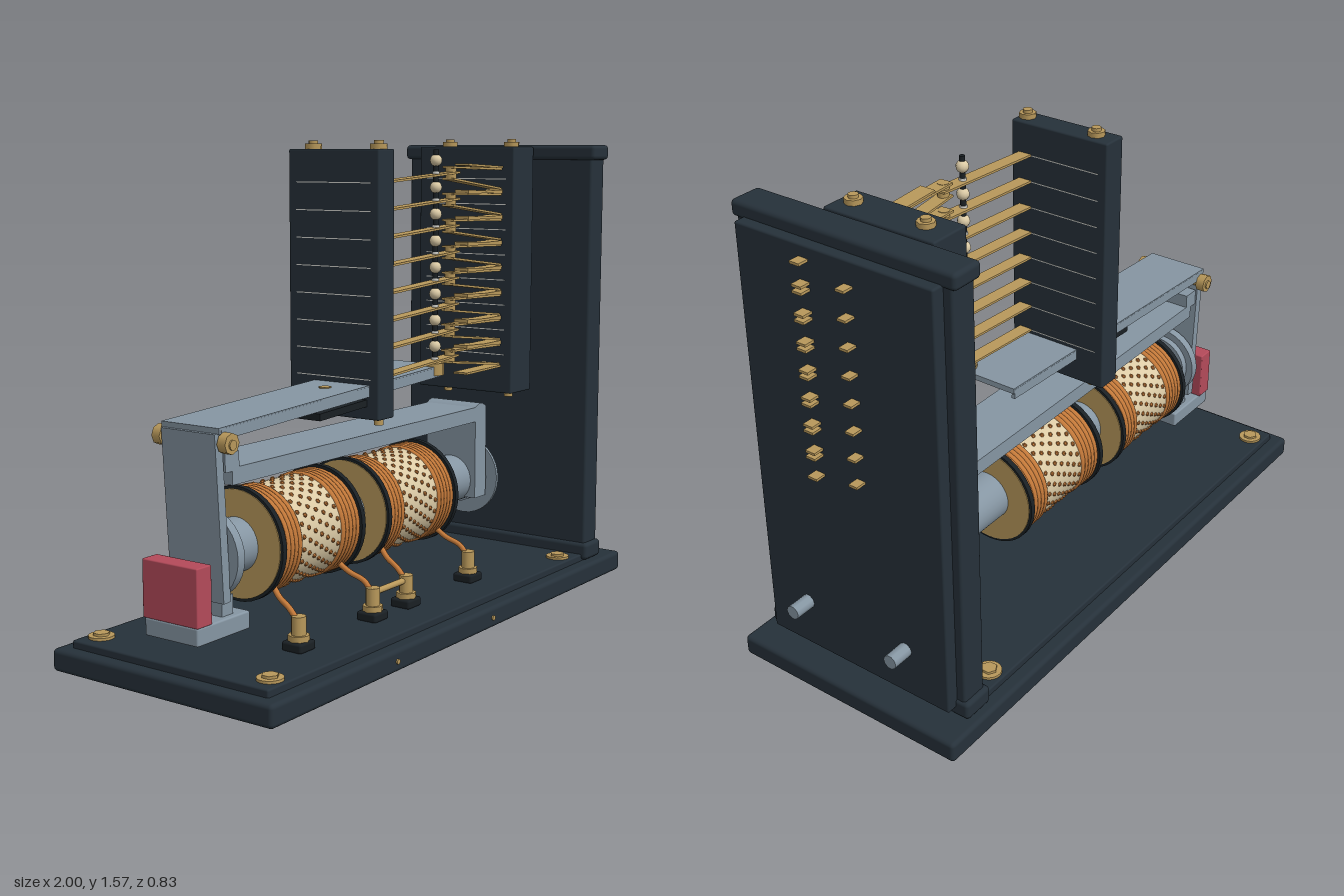
import * as THREE from 'three';
import { RoundedBoxGeometry } from 'three/addons/geometries/RoundedBoxGeometry.js';

const mat = (name, color) => {
  const m = new THREE.MeshStandardMaterial({ color });
  m.name = name;
  return m;
};

export function createModel() {
  const model = new THREE.Group();
  const ebonite = mat('ebonite', 0x26313a);
  const black = mat('black', 0x1a2024);
  const steel = mat('steel', 0x8696a3);
  const brass = mat('brass', 0xb9995b);
  const copper = mat('copper', 0xc57a3a);
  const ivory = mat('ivory', 0xdccba6);
  const red = mat('red', 0xb44a5a);
  const pale = mat('pale', 0xd8d8d2);

  const add = (name, geo, material, x = 0, y = 0, z = 0) => {
    const m = new THREE.Mesh(geo, material);
    m.name = name;
    m.position.set(x, y, z);
    model.add(m);
    return m;
  };
  // Box from its limits, with optional bevel
  const box = (name, material, x0, x1, y0, y1, z0, z1, bevel = 0) => {
    const s = [x1 - x0, y1 - y0, z1 - z0];
    const geo = bevel ? new RoundedBoxGeometry(...s, 2, bevel) : new THREE.BoxGeometry(...s);
    return add(name, geo, material, (x0 + x1) / 2, (y0 + y1) / 2, (z0 + z1) / 2);
  };
  // Cylinder along an axis, from a to b
  const rod = (name, material, axis, r, a, b, x, y, z, sides = 24) => {
    const geo = new THREE.CylinderGeometry(r, r, b - a, sides);
    const mid = (a + b) / 2;
    if (axis === 'x') { geo.rotateZ(-Math.PI / 2); x = mid; }
    if (axis === 'y') y = mid;
    if (axis === 'z') { geo.rotateX(Math.PI / 2); z = mid; }
    return add(name, geo, material, x, y, z);
  };
  // Sloping flat bar between two points in the front plane
  const bar = (name, material, x0, y0, x1, y1, thick, z, width) => {
    const m = add(name, new THREE.BoxGeometry(Math.hypot(x1 - x0, y1 - y0), thick, width),
      material, (x0 + x1) / 2, (y0 + y1) / 2, z);
    m.rotation.z = Math.atan2(y1 - y0, x1 - x0);
    return m;
  };

  // Base with feet and corner screws
  box('base', ebonite, -1, 1, 0.018, 0.087, -0.415, 0.415, 0.014);
  box('baseTop', ebonite, -0.96, 0.86, 0.08, 0.11, -0.37, 0.37, 0.006);
  for (const x of [-0.89, 0.705]) for (const z of [-0.32, 0.32]) {
    rod('foot', black, 'y', 0.052, 0, 0.02, x, 0, z);
    rod('baseScrew', brass, 'y', 0.039, 0.108, 0.118, x, 0, z);
    rod('baseScrewHead', brass, 'y', 0.025, 0.118, 0.126, x, 0, z, 6);
  }
  for (const x of [-0.42, 0.115]) rod('basePin', brass, 'z', 0.008, 0.405, 0.42, x, 0.052, 0, 10);

  // Upright back panel
  box('panel', ebonite, 0.8, 0.89, 0.1, 1.54, -0.375, 0.375, 0.01);
  box('panelTopRail', ebonite, 0.788, 0.897, 1.495, 1.546, -0.39, 0.39, 0.014);
  box('panelBottomRail', ebonite, 0.788, 0.897, 0.09, 0.15, -0.39, 0.39, 0.014);
  box('panelPlate', ebonite, 0.88, 0.93, 0.12, 1.505, -0.345, 0.345, 0.007);
  for (const z of [-0.19, 0.19]) rod('powerPin', steel, 'x', 0.023, 0.92, 1, 0, 0.285, z, 10);

  // Insulating stacks that clamp the springs
  const poles = Array.from({ length: 8 }, (_, i) => 1.43 - i * 0.087);
  const stack = (name, x0, x1, y0, y1, z0, z1) => {
    box(name, ebonite, x0, x1, y0, y1, z0, z1, 0.006);
    for (const z of [-0.143, 0.11]) {
      const x = (x0 + x1) / 2;
      rod('stackBolt', brass, 'y', 0.015, y0 - 0.02, y1 + 0.026, x, 0, z, 12);
      rod('stackNut', brass, 'y', 0.027, y1 - 0.002, y1 + 0.016, x, 0, z, 8);
    }
    for (const y of poles) {
      box('stackSeam', pale, x0 - 0.001, x1 + 0.001, y - 0.0015, y + 0.0015, z0 + 0.03, z1 - 0.03);
    }
  };
  stack('movingStack', -0.13, -0.045, 0.695, 1.533, -0.21, 0.14);
  stack('fixedStack', 0.64, 0.776, 0.685, 1.54, -0.225, 0.16);

  // Contact springs, contacts and rear tags
  const disc = (x, y, h) => rod('contact', brass, 'y', 0.018, y - h / 2, y + h / 2, x, 0, 0.09, 12);
  for (const y of poles) {
    bar('movingSpring', brass, -0.05, y, 0.375, y + 0.026, 0.007, 0.09, 0.046);
    disc(0.352, y + 0.024, 0.02);
    for (const s of [1, -1]) {
      const root = y + 0.034 * s;
      const tip = y + 0.024 + 0.019 * s;
      bar('fixedSpring', brass, 0.65, root, 0.335, tip, 0.007, 0.09, 0.046);
      bar('backingSpring', brass, 0.65, root + 0.006 * s, 0.42, y + 0.004 + 0.047 * s, 0.007, 0.09, 0.054);
      disc(0.352, tip - 0.004 * s, 0.016);
      box('rearTag', brass, 0.92, 0.965, root - 0.004, root + 0.004, 0.078, 0.112);
    }
    box('rearTag', brass, 0.92, 0.965, y - 0.004, y + 0.004, -0.075, -0.045);
    // Bead on the lifting rod
    add('liftBead', new THREE.SphereGeometry(0.02, 12, 8), ivory, 0.262, y + 0.066, 0.09);
    rod('liftCollar', pale, 'y', 0.012, y + 0.02, y + 0.03, 0.262, 0, 0.09, 10);
  }
  rod('liftRod', black, 'y', 0.009, 0.8, 1.53, 0.262, 0, 0.09, 10);
  rod('liftNut', brass, 'y', 0.032, 0.792, 0.832, 0.262, 0, 0.09, 8);

  // Armature: tilted channel, front leg and hinge
  bar('armatureTop', steel, -0.84, 0.762, 0.29, 0.815, 0.018, -0.003, 0.215);
  for (const z of [-0.105, 0.099]) bar('armatureFlange', steel, -0.83, 0.752, 0.285, 0.803, 0.032, z, 0.012);
  bar('armatureLeg', steel, -0.835, 0.755, -0.805, 0.265, 0.03, -0.003, 0.2);
  bar('stopPlate', black, -0.37, 0.735, -0.12, 0.748, 0.022, 0, 0.19);
  rod('armatureScrew', brass, 'y', 0.02, 0.785, 0.803, -0.22, 0, 0, 12);
  rod('hingePin', brass, 'z', 0.015, -0.145, 0.14, -0.82, 0.725, 0, 12);
  for (const [a, b] of [[-0.14, -0.11], [0.105, 0.135]]) {
    rod('hingeNut', brass, 'z', 0.031, a, b, -0.82, 0.728, 0, 8);
  }

  // Yoke: one bent bar with a raised hinge end
  const yoke = new THREE.Shape();
  yoke.moveTo(-0.81, 0.64);
  yoke.lineTo(-0.81, 0.695);
  yoke.lineTo(-0.75, 0.695);
  yoke.lineTo(-0.75, 0.65);
  yoke.lineTo(0.505, 0.65);
  yoke.quadraticCurveTo(0.54, 0.675, 0.575, 0.645);
  yoke.lineTo(0.575, 0.33);
  yoke.lineTo(0.505, 0.33);
  yoke.lineTo(0.505, 0.6);
  yoke.lineTo(-0.78, 0.6);
  yoke.lineTo(-0.78, 0.64);
  add('yoke', new THREE.ExtrudeGeometry(yoke, { depth: 0.2, bevelEnabled: false }), steel, 0, 0, -0.1);

  // Core, pole face and end nut
  const cy = 0.39;
  rod('core', steel, 'x', 0.082, -0.78, 0.56, 0, cy, 0, 32);
  rod('poleFace', steel, 'x', 0.13, -0.795, -0.765, 0, cy, 0, 32);
  rod('poleStep', steel, 'x', 0.105, -0.77, -0.74, 0, cy, 0, 32);
  rod('endNut', steel, 'x', 0.095, 0.57, 0.618, 0, cy, 0, 8);
  rod('endWasher', steel, 'x', 0.137, 0.589, 0.6, 0, cy, 0, 32);

  // Two coils with wound ends and a dotted wrapping
  const dotGeo = new THREE.IcosahedronGeometry(0.0085, 0);
  for (const cx of [-0.445, 0.083]) {
    rod('coilWrap', ivory, 'x', 0.158, cx - 0.17, cx + 0.17, 0, cy, 0, 40);
    for (const s of [-1, 1]) {
      const f = cx + 0.193 * s;
      rod('flangeRim', black, 'x', 0.173, f - 0.009, f + 0.009, 0, cy, 0, 40);
      const g = f + 0.009 * s;
      rod('flangeFace', brass, 'x', 0.164, g - 0.003, g + 0.003, 0, cy, 0, 40);
      for (let k = 0; k < 5; k++) {
        const geo = new THREE.TorusGeometry(0.155, 0.0105, 8, 40).rotateY(Math.PI / 2);
        add('winding', geo, copper, cx + s * (0.106 + k * 0.018), cy, 0);
      }
    }
    const dots = new THREE.InstancedMesh(dotGeo, copper, 0);
    dots.dispose();
    for (let c = 0; c < 7; c++) for (let r = 0; r < 26; r++) {
      const t = (r + c * 0.4) / 26 * Math.PI * 2;
      add('wrapDot', dotGeo, copper, cx + (c - 3) * 0.028, cy + Math.cos(t) * 0.157, Math.sin(t) * 0.157);
    }
  }

  // Terminals with leads to the coils
  for (const x of [-0.64, -0.275, -0.095, 0.27]) {
    box('terminalBase', black, x - 0.036, x + 0.036, 0.108, 0.138, 0.185, 0.257, 0.008);
    rod('terminalNut', brass, 'y', 0.032, 0.136, 0.155, x, 0, 0.222, 8);
    rod('terminalPost', brass, 'y', 0.022, 0.15, 0.21, x, 0, 0.222, 12);
    const inward = x < -0.5 || (x > -0.2 && x < 0) ? 0.025 : -0.025;
    const path = new THREE.CatmullRomCurve3([
      new THREE.Vector3(x, 0.19, 0.22), new THREE.Vector3(x, 0.225, 0.19),
      new THREE.Vector3(x + inward * 0.5, 0.25, 0.14), new THREE.Vector3(x + inward, 0.28, 0.105)]);
    add('lead', new THREE.TubeGeometry(path, 12, 0.009, 8), copper);
  }
  rod('linkBar', brass, 'x', 0.01, -0.275, -0.095, 0, 0.193, 0.222, 10);

  // Stop bracket and red block
  box('bracketFoot', steel, -0.935, -0.71, 0.168, 0.222, -0.1, 0.1, 0.006);
  box('bracketPost', steel, -0.81, -0.762, 0.21, 0.28, -0.08, 0.08);
  box('redBlock', red, -0.935, -0.873, 0.22, 0.392, -0.107, 0.1, 0.004);

  return model;
}
